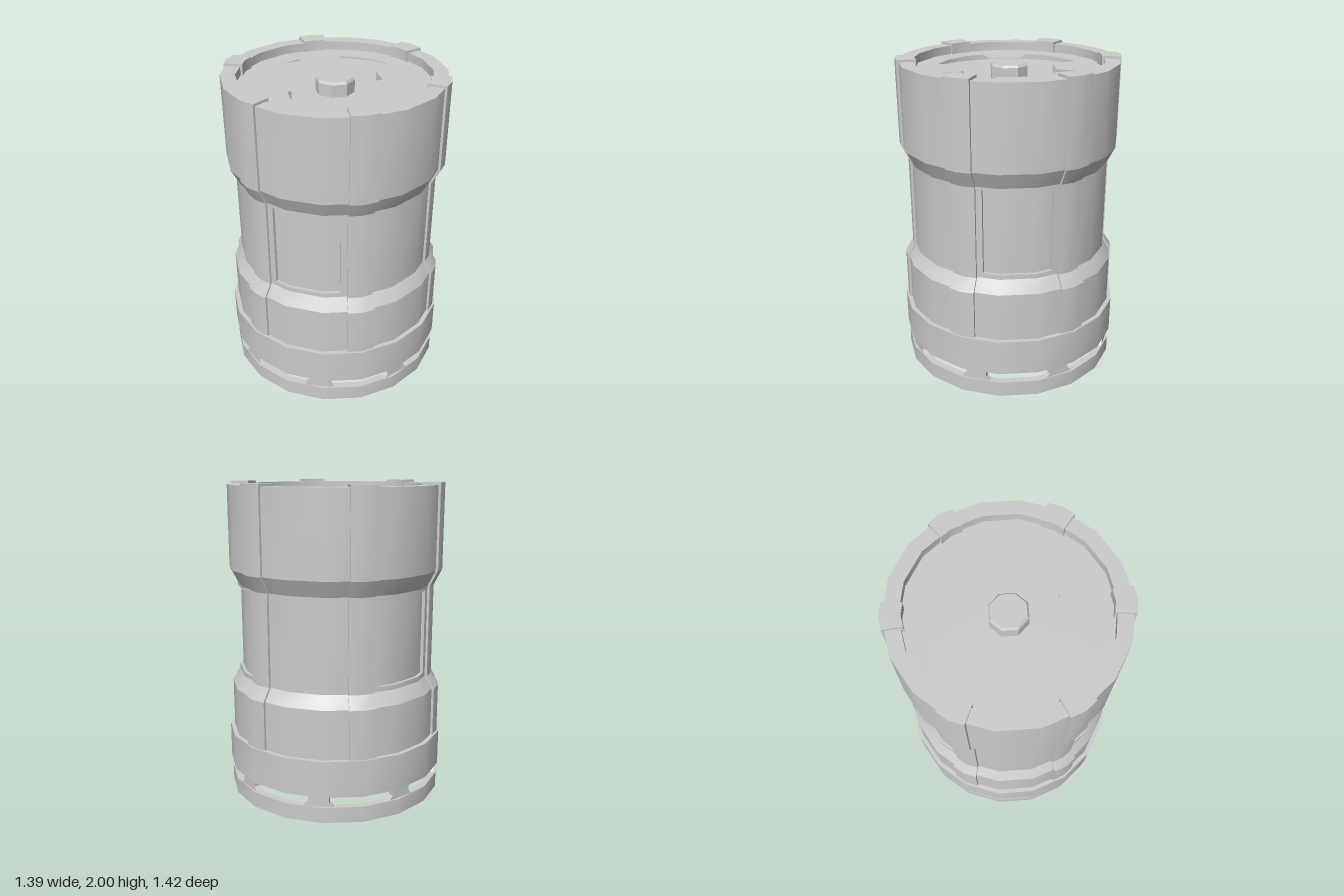
import * as THREE from 'three';
import { toCreasedNormals } from 'three/addons/utils/BufferGeometryUtils.js';

const SIDES = 18, STEP = 360 / SIDES, CREASE = 0.42;
const rad = THREE.MathUtils.degToRad;

// Point on an 18-sided prism: corner radius r, height y, azimuth in degrees from +z towards +x
function polar(r, y, deg) {
  const off = deg - (Math.floor(deg / STEP) + 0.5) * STEP;
  const d = r * Math.cos(rad(STEP / 2)) / Math.cos(rad(off));
  return [d * Math.sin(rad(deg)), y, d * Math.cos(rad(deg))];
}

// Sweeps a closed counter-clockwise (r, y) profile around the axis from a0 to a1 degrees
function sweep(profile, a0, a1, capped = false) {
  const angles = [a0];
  for (let a = (Math.floor(a0 / STEP) + 1) * STEP; a < a1; a += STEP) angles.push(a);
  angles.push(a1);
  const n = profile.length, pos = [], index = [];
  angles.forEach(a => profile.forEach(([r, y]) => pos.push(...polar(r, y, a))));
  for (let i = 0; i < angles.length - 1; i++) {
    for (let j = 0; j < n; j++) {
      const k = (j + 1) % n;
      const a = i * n + j, b = a + n, c = (i + 1) * n + k, d = i * n + k;
      index.push(a, b, c, a, c, d);
    }
  }
  if (capped) {
    const last = (angles.length - 1) * n;
    const faces = THREE.ShapeUtils.triangulateShape(profile.map(p => new THREE.Vector2(...p)), []);
    for (const [a, b, c] of faces) index.push(a, b, c, last + a, last + c, last + b);
  }
  const g = new THREE.BufferGeometry();
  g.setAttribute('position', new THREE.Float32BufferAttribute(pos, 3));
  g.setIndex(index);
  return toCreasedNormals(g, CREASE);
}

export function createModel() {
  const group = new THREE.Group();
  const material = new THREE.MeshStandardMaterial({ color: 0xcccccc });
  const add = (name, geometry) => {
    const mesh = new THREE.Mesh(geometry, material);
    mesh.name = name;
    group.add(mesh);
    return mesh;
  };

  // Waisted body shell, with a recess in the waist of every third sector
  const shell = waist => [
    [0.57, 0.23], [0.68, 0.23], [0.68, 0.71], [0.63, 0.79], ...waist,
    [0.63, 1.37], [0.68, 1.47], [0.68, 1.985], [0.59, 1.985], [0.59, 1.87], [0.57, 1.87],
  ];
  const recess = [[0.63, 0.82], [0.61, 0.82], [0.61, 1.35], [0.63, 1.35]];
  const jamb = [[0.605, 0.82], [0.63, 0.82], [0.63, 1.35], [0.605, 1.35]];
  for (const mid of [90, 210, 330]) {
    add('bodyShell', sweep(shell([]), mid + 20, mid + 100));
    add('recessedPanel', sweep(shell(recess), mid - 20, mid + 20));
    add('panelJamb', sweep(jamb, mid - 20, mid - 19.5, true));
    add('panelJamb', sweep(jamb, mid + 19.5, mid + 20, true));
  }

  // Six ribs that follow the body and hook over the rim
  const rib = [
    [0.62, 0.39], [0.695, 0.39], [0.695, 0.71], [0.645, 0.79], [0.645, 1.37], [0.695, 1.47],
    [0.695, 2], [0.575, 2], [0.575, 1.92], [0.62, 1.92],
  ];
  for (let i = 0; i < 6; i++) add('rib', sweep(rib, i * 60 - 7, i * 60 + 7, true));

  // Lower band and foot ring
  const ring = (r0, r1, y0, y1) => sweep([[r0, y0], [r1, y0], [r1, y1], [r0, y1]], 0, 360);
  add('lowerBand', ring(0.655, 0.708, 0.17, 0.4));
  add('footRing', ring(0.655, 0.7, 0, 0.1));

  // Posts between the slots, flared where they meet the foot ring
  const postShape = new THREE.Shape([
    [-0.09, 0.09], [0.09, 0.09], [0.09, 0.1], [0.065, 0.125], [0.065, 0.18],
    [-0.065, 0.18], [-0.065, 0.125], [-0.09, 0.1],
  ].map(p => new THREE.Vector2(...p)));
  const post = new THREE.ExtrudeGeometry(postShape, { depth: 0.035, bevelEnabled: false });
  post.translate(0, 0, 0.647);
  for (let i = 0; i < 8; i++) add('footPost', post).rotation.y = rad(22.5 + i * 45);

  // Lid plate with a pocket that has four tongues reaching inwards
  const at = (r, deg) => new THREE.Vector2(r * Math.sin(rad(deg)), r * Math.cos(rad(deg)));
  const lidShape = new THREE.Shape(Array.from({ length: SIDES }, (_, i) => at(0.592, i * STEP)));
  const pocket = [];
  for (let q = 0; q < 360; q += 90) {
    pocket.push(at(0.3, q + 19));
    for (const a of [18, 36, 54, 72]) pocket.push(at(0.455, q + a));
    pocket.push(at(0.3, q + 71));
  }
  lidShape.holes.push(new THREE.Path(pocket));
  const lid = new THREE.ExtrudeGeometry(lidShape, { depth: 0.06, bevelEnabled: false });
  add('lidPlate', lid.rotateX(-Math.PI / 2).translate(0, 1.87, 0));
  const floor = new THREE.CylinderGeometry(0.58, 0.58, 0.1, SIDES);
  add('pocketFloor', toCreasedNormals(floor, CREASE).translate(0, 1.82, 0));

  // Octagonal centre knob with a chamfered top
  const knobProfile = [[0.119, 1.87], [0.119, 1.945], [0.108, 1.96], [0, 1.96]];
  const knob = new THREE.LatheGeometry(
    knobProfile.map(p => new THREE.Vector2(...p)), 8, Math.PI / 8);
  add('centreKnob', toCreasedNormals(knob, CREASE));

  return group;
}
